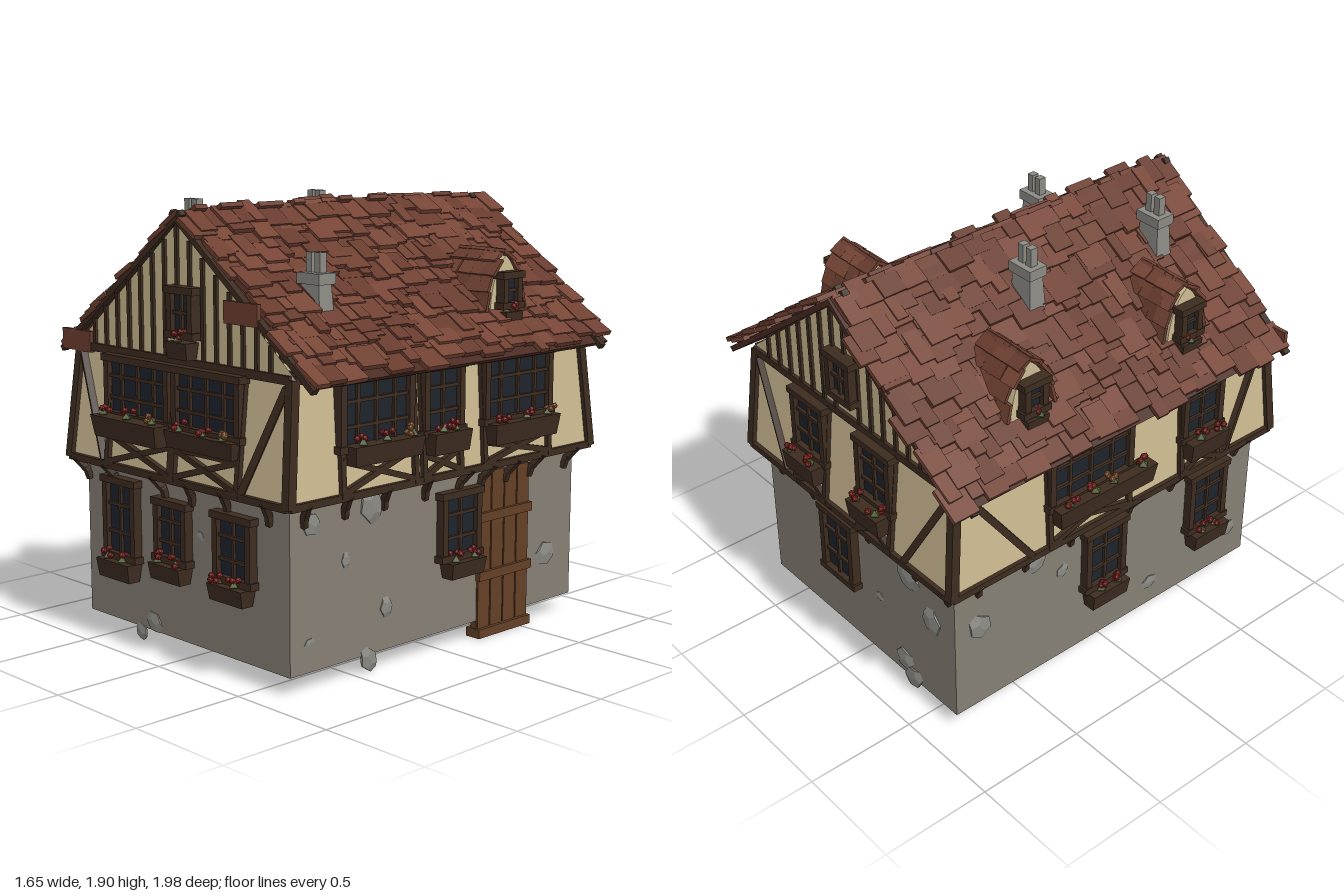
import * as THREE from 'three';
import { mergeGeometries } from 'three/addons/utils/BufferGeometryUtils.js';

const mat = (color, side = THREE.FrontSide) => new THREE.MeshStandardMaterial({ color, side, flatShading: true });
const M = {
  stone: mat(0x857f74, THREE.DoubleSide), plaster: mat(0xcdbb92, THREE.DoubleSide), timber: mat(0x3d2c20),
  glass: mat(0x1e232b), door: mat(0x634026), rock: mat(0x8b8a84), red: mat(0x842320), orange: mat(0x8c5a34),
  leaf: mat(0x4a5a2c), deck: mat(0x4a2b22), tiles: [mat(0x6e4032), mat(0x673b2e), mat(0x764536)],
};
let seed = 7;
const rnd = (a = 0, b = 1) => { seed = (seed * 16807) % 2147483647; return a + (b - a) * (seed / 2147483647); };

function add(parent, name, geo, material, x = 0, y = 0, z = 0) {
  const m = new THREE.Mesh(geo, material);
  m.name = name;
  m.position.set(x, y, z);
  parent.add(m);
  return m;
}
const box = (p, name, material, w, h, d, x, y, z) => add(p, name, new THREE.BoxGeometry(w, h, d), material, x, y, z);

// Timber between two points
function beam(p, name, a, b, w, d = w) {
  const A = new THREE.Vector3(...a), B = new THREE.Vector3(...b), dir = B.clone().sub(A);
  const m = box(p, name, M.timber, w, dir.length(), d, ...A.clone().add(B).multiplyScalar(0.5).toArray());
  m.quaternion.setFromUnitVectors(new THREE.Vector3(0, 1, 0), dir.normalize());
}

// Open shell through rectangular sections [halfX, halfZ, y]
function shell(sections) {
  const pos = [], c = [[1, 1], [1, -1], [-1, -1], [-1, 1]];
  for (let i = 0; i + 1 < sections.length; i++) for (let k = 0; k < 4; k++) {
    const P = (s, q) => [s[0] * q[0], s[2], s[1] * q[1]];
    const q = c[k], r = c[(k + 1) % 4], lo = sections[i], hi = sections[i + 1];
    pos.push(...P(lo, q), ...P(lo, r), ...P(hi, r), ...P(lo, q), ...P(hi, r), ...P(hi, q));
  }
  const g = new THREE.BufferGeometry();
  g.setAttribute('position', new THREE.Float32BufferAttribute(pos, 3));
  g.computeVertexNormals();
  return g;
}

// Box whose lower end is scaled
function taperedBox(w, h, d, sx, sz) {
  const g = new THREE.BoxGeometry(w, h, d), p = g.attributes.position;
  for (let i = 0; i < p.count; i++) if (p.getY(i) < 0) { p.setX(i, p.getX(i) * sx); p.setZ(i, p.getZ(i) * sz); }
  return g;
}

// Framed window; the frame shows on both faces of the wall
function windowUnit(p, u0, u1, y0, y1, z, cols = 2, rows = 3) {
  const g = new THREE.Group(), w = u1 - u0, h = y1 - y0, f = 0.03;
  g.name = 'window';
  g.position.set((u0 + u1) / 2, (y0 + y1) / 2, z);
  box(g, 'glass', M.glass, w - f, h - f, 0.012, 0, 0, 0.012);
  for (const s of [-1, 1]) {
    box(g, 'frameSide', M.timber, f, h, 0.07, s * (w - f) / 2, 0, 0.005);
    box(g, 'frameRail', M.timber, w + 0.02, f, 0.08, 0, s * (h - f) / 2, 0.005);
  }
  for (let i = 1; i < cols; i++) box(g, 'mullion', M.timber, 0.014, h - f, 0.045, -w / 2 + w * i / cols, 0, 0.008);
  for (let i = 1; i < rows; i++) box(g, 'glazingBar', M.timber, w - f, 0.014, 0.045, 0, -h / 2 + h * i / rows, 0.008);
  p.add(g);
}

function flowerBox(p, u0, u1, y0, y1, z, depth = 0.08) {
  const g = new THREE.Group(), w = u1 - u0;
  g.name = 'flowerBox';
  g.position.set((u0 + u1) / 2, y1, z + depth / 2);
  add(g, 'planter', taperedBox(w, y1 - y0, depth, 0.95, 0.7), M.timber, 0, -(y1 - y0) / 2, 0);
  const n = Math.max(1, Math.round(w / 0.13));
  for (let i = 0; i < n; i++) {
    const x = ((i + rnd(0.3, 0.7)) / n - 0.5) * w, m = i % 3 === 2 ? M.orange : M.red;
    add(g, 'leaves', new THREE.OctahedronGeometry(0.024), M.leaf, x, 0.005, 0.012);
    for (let k = 0; k < 4; k++)
      add(g, 'flower', new THREE.IcosahedronGeometry(0.015), m, x + rnd(-0.025, 0.025), rnd(0.01, 0.042), rnd(-0.015, 0.035));
  }
  p.add(g);
}

// Flat-bedded stone in the wall face
function rock(p, u, y, z, r) {
  const m = add(p, 'wallStone', new THREE.DodecahedronGeometry(r), M.rock, u, y, z);
  m.scale.set(rnd(0.8, 1), rnd(0.9, 1.2), 0.24);
  m.rotation.z = rnd(0, 3);
}

const SILL = 0.77, PLATE = 1.26, RIDGE = 1.85, EAVE = 0.8, FALL = 0.61;
const roofY = x => RIDGE - Math.abs(x) * FALL / EAVE;

// One elevation, drawn facing +z and turned into place
function elevation(house, name, turn, half, lower, foot, head, o) {
  const g = new THREE.Group();
  g.name = name;
  g.rotation.y = turn;
  house.add(g);
  const face = y => foot + (head - foot) * (y - SILL) / (PLATE - SILL);
  const stud = (u0, y0, u1, y1, w = 0.025) => beam(g, 'timber', [u0, y0, face(y0) + 0.005], [u1, y1, face(y1) + 0.005], w, 0.03);
  const [wf, wh] = half;
  beam(g, 'sillBeam', [-wf, SILL + 0.005, foot], [wf, SILL + 0.005, foot], 0.03, 0.035);
  beam(g, 'plateBeam', [-wh, PLATE, head], [wh, PLATE, head], 0.035, 0.04);
  beam(g, 'cornerPost', [wf, SILL, foot], [wh, PLATE, head], 0.04);
  for (const [a, b, c, d] of o.braces) stud(a, b, c, d, 0.03);
  for (const [a, b, y] of o.crosses) {
    stud(a, SILL, a, PLATE); stud(b, SILL, b, PLATE); stud(a, y, b, y);
    stud(a, 0.79, b, y); stud(a, y, b, 0.79);
  }
  for (const w of o.upper) windowUnit(g, w[0], w[1], w[2], w[3], face((w[2] + w[3]) / 2), w[4], 3);
  for (const w of o.lower) windowUnit(g, w[0], w[1], w[2], w[3], lower, 2, 3);
  for (const b of o.boxes) flowerBox(g, b[0], b[1], b[2], b[3], b[2] > SILL ? face(b[2]) : lower, b[4]);
  for (const [u, y, r] of o.rocks) rock(g, u, y, lower, r);
  for (const u of o.brackets) {
    const lean = u < 0 ? 0.03 : -0.03;
    beam(g, 'bracket', [u + lean, 0.675, lower + 0.005], [u + lean * 0.7, 0.73, lower + 0.02], 0.024);
    beam(g, 'bracket', [u + lean * 0.8, 0.715, lower + 0.015], [u, 0.775, foot + 0.01], 0.026);
  }
  return g;
}

// Gable cladding with studs and an attic window
function gable(g, z, wu) {
  const s = new THREE.Shape([new THREE.Vector2(-0.7, PLATE), new THREE.Vector2(0.7, PLATE), new THREE.Vector2(0, RIDGE - 0.03)]);
  add(g, 'gableWall', new THREE.ShapeGeometry(s), M.plaster, 0, 0, z);
  for (let i = -7; i <= 7; i++) {
    const x = i * 0.08, y0 = Math.abs(x - wu) < 0.08 ? 1.56 : PLATE;
    beam(g, 'gableStud', [x, y0, z], [x, roofY(x) - 0.04, z], 0.018, 0.024);
  }
  for (const e of [-1, 1]) beam(g, 'bargeBoard', [e * 0.8, roofY(0.8) - 0.01, z], [-e * 0.03, RIDGE + 0.01, z], 0.025, 0.03);
  windowUnit(g, wu - 0.08, wu + 0.08, 1.36, 1.57, z + 0.01, 2, 2);
}

// Collects tiles into one mesh per shade
function tileSet(parent, name) {
  const lists = [[], [], []];
  return {
    put(w, l, t, matrix) { lists[Math.floor(rnd(0, 3))].push(new THREE.BoxGeometry(w, l, t).applyMatrix4(matrix)); },
    done() { lists.forEach((l, i) => { if (l.length) add(parent, name, mergeGeometries(l), M.tiles[i]); }); },
  };
}
// Matrix with y down the slope, z along its normal, and a slight lift at the lower end
function tileMatrix(origin, down, normal, lift, twist) {
  const X = new THREE.Vector3().crossVectors(down, normal);
  return new THREE.Matrix4().makeBasis(X, down, normal).setPosition(origin)
    .multiply(new THREE.Matrix4().makeRotationFromEuler(new THREE.Euler(lift, 0, twist)));
}

function roof(house) {
  const V = (x, y) => new THREE.Vector2(x, y);
  const s = new THREE.Shape([V(-0.78, 1.245), V(0, RIDGE - 0.01), V(0.78, 1.245), V(0.76, 1.23), V(0, RIDGE - 0.04), V(-0.76, 1.23)]);
  add(house, 'roofDeck', new THREE.ExtrudeGeometry(s, { depth: 1.78, bevelEnabled: false }), M.deck, 0, 0, -0.93);
  const len = Math.hypot(EAVE, FALL);
  for (const e of [-1, 1]) {
    const set = tileSet(house, e < 0 ? 'rightRoofTiles' : 'leftRoofTiles');
    const down = new THREE.Vector3(e * EAVE / len, -FALL / len, 0), n = new THREE.Vector3(e * FALL / len, EAVE / len, 0);
    for (let r = 0; r < 13; r++) {
      let z = -0.96 + rnd(-0.025, 0.045);
      while (z < 0.82) {
        const w = Math.min(rnd(0.05, 0.14), 0.885 - z), v = 0.035 + r * 0.0735 + rnd(-0.03, 0.03);
        const o = new THREE.Vector3(0, RIDGE, z + w / 2).addScaledVector(down, v).addScaledVector(n, 0.003 + rnd(0, 0.016));
        set.put(w, rnd(0.11, 0.15), 0.02, tileMatrix(o, down, n, rnd(0.05, 0.14), rnd(-0.03, 0.03)));
        z += w * 0.97;
      }
    }
    set.done();
  }
  // Loose boards at the front verge
  box(house, 'vergeBoard', M.tiles[0], 0.2, 0.09, 0.02, -0.68, 1.28, 0.875);
  box(house, 'vergeBoard', M.tiles[0], 0.2, 0.09, 0.02, 0.4, 1.49, 0.875);
}

// Dormer with a pointed-arch face, facing local +z
function dormer(house, e, z) {
  const g = new THREE.Group();
  g.name = 'dormer';
  g.rotation.y = e * Math.PI / 2;
  g.position.set(e * 0.61, 0, z);
  const s = new THREE.Shape();
  s.moveTo(-0.1, 1.37); s.lineTo(0.1, 1.37);
  s.quadraticCurveTo(0.095, 1.58, 0, 1.645);
  s.quadraticCurveTo(-0.095, 1.58, -0.1, 1.37);
  add(g, 'dormerBody', new THREE.ExtrudeGeometry(s, { depth: 0.26, bevelEnabled: false }), M.plaster, 0, 0, -0.26);
  windowUnit(g, -0.06, 0.06, 1.42, 1.58, 0.005, 1, 2);
  flowerBox(g, -0.055, 0.055, 1.345, 1.41, 0.005, 0.05);
  const set = tileSet(g, 'dormerTiles');
  for (const k of [-1, 1]) {
    const curve = new THREE.QuadraticBezierCurve3(new THREE.Vector3(0, 1.655, 0), new THREE.Vector3(k * 0.106, 1.59, 0), new THREE.Vector3(k * 0.11, 1.4, 0));
    for (let r = 0; r < 4; r++) for (let c = 0; c < 4; c++) {
      const t = 0.1 + r * 0.25, down = curve.getTangent(t), n = new THREE.Vector3(-k * down.y, k * down.x, 0);
      const o = curve.getPoint(t).addScaledVector(n, 0.006);
      o.z = -0.035 - c * 0.062 + rnd(-0.015, 0.015);
      set.put(rnd(0.07, 0.085), 0.085, 0.014, tileMatrix(o, down, n, rnd(0.05, 0.15), rnd(-0.05, 0.05)));
    }
  }
  set.done();
  house.add(g);
}

function chimney(house, x, z, top) {
  const g = new THREE.Group();
  g.name = 'chimney';
  g.position.set(x, top, z);
  add(g, 'stack', taperedBox(0.1, 0.26, 0.065, 1.4, 1.4), M.rock, 0, -0.15, 0);
  box(g, 'cap', M.rock, 0.13, 0.045, 0.09, 0, -0.023, 0);
  for (const k of [-1, 1]) box(g, 'pot', M.rock, 0.032, 0.08, 0.035, k * 0.024, 0.04, 0);
  house.add(g);
}

export function createModel() {
  const house = new THREE.Group();
  house.name = 'timberFramedHouse';
  add(house, 'stoneWalls', shell([[0.65, 0.86, 0.08], [0.65, 0.86, SILL], [0.7, 0.91, SILL]]), M.stone);
  add(house, 'plasterWalls', shell([[0.7, 0.91, SILL], [0.67, 0.86, PLATE]]), M.plaster);

  const front = elevation(house, 'frontWall', 0, [0.7, 0.67], 0.86, 0.91, 0.86, {
    braces: [[-0.65, 1.23, -0.46, 0.79], [0.65, 1.23, 0.43, 0.79]],
    crosses: [[-0.43, -0.01, 0.91], [0.01, 0.41, 0.91]],
    upper: [[-0.45, -0.02, 0.98, 1.25, 4], [0, 0.42, 0.98, 1.25, 4]],
    lower: [[-0.5, -0.28, 0.36, 0.72], [-0.15, 0.06, 0.41, 0.68], [0.23, 0.46, 0.4, 0.69]],
    boxes: [[-0.44, -0.01, 0.91, 1, 0.1], [0, 0.42, 0.92, 0.99, 0.06], [-0.5, -0.28, 0.28, 0.36], [-0.14, 0.06, 0.34, 0.41], [0.24, 0.45, 0.33, 0.4]],
    rocks: [[0.11, 0.55, 0.025], [-0.2, 0.12, 0.05], [-0.29, 0.06, 0.04]], brackets: [-0.66, -0.46, -0.13, 0.1, 0.32, 0.57],
  });
  gable(front, 0.865, 0.06);
  flowerBox(front, 0, 0.13, 1.28, 1.35, 0.87, 0.07);

  const side = elevation(house, 'doorWall', Math.PI / 2, [0.91, 0.86], 0.65, 0.7, 0.67, {
    braces: [], crosses: [[-0.63, -0.22, 0.92], [-0.17, 0.05, 0.88], [0.2, 0.62, 0.88]],
    upper: [[-0.65, -0.24, 0.95, 1.25, 4], [-0.18, 0.06, 0.95, 1.25, 2], [0.19, 0.63, 0.95, 1.25, 4]],
    lower: [[-0.03, 0.21, 0.39, 0.69]],
    boxes: [[-0.62, -0.23, 0.9, 0.98], [-0.17, 0.05, 0.88, 0.97], [0.2, 0.62, 0.87, 0.96], [-0.01, 0.2, 0.32, 0.39]],
    rocks: [[-0.75, 0.68, 0.05], [-0.42, 0.7, 0.07], [-0.56, 0.5, 0.03], [-0.33, 0.26, 0.045], [-0.43, 0.06, 0.05], [-0.76, 0.2, 0.025], [0.68, 0.3, 0.07]],
    brackets: [-0.82, -0.6, -0.38, -0.14, 0.12, 0.26, 0.42, 0.58, 0.82],
  });
  // Plank door, set into the wall, with three bands
  for (let i = 0; i < 4; i++) box(side, 'doorPlank', M.door, 0.076, 0.72 + (i % 2) * 0.012, 0.04, 0.265 + i * 0.083, 0.37, 0.638);
  box(side, 'doorBacking', M.door, 0.33, 0.71, 0.03, 0.39, 0.37, 0.638);
  for (const y of [0.025, 0.28, 0.54]) box(side, 'doorBand', M.door, 0.34, 0.04, 0.075, 0.39, y, 0.636);

  const back = elevation(house, 'backWall', Math.PI, [0.7, 0.67], 0.86, 0.91, 0.86, {
    braces: [[-0.65, 1.23, -0.42, 0.79], [0.65, 1.23, 0.4, 0.79]],
    crosses: [[-0.35, -0.14, 0.88], [0.1, 0.31, 0.88]],
    upper: [[-0.36, -0.13, 0.95, 1.25, 2], [0.09, 0.32, 0.95, 1.25, 2]], lower: [[-0.23, 0, 0.36, 0.71]],
    boxes: [[-0.35, -0.14, 0.87, 0.96], [0.1, 0.31, 0.87, 0.96]],
    rocks: [[0.14, 0.68, 0.025], [0.14, 0.4, 0.03], [0.35, 0.65, 0.08], [0.5, 0.5, 0.07], [0.3, 0.16, 0.07], [0.36, 0.09, 0.06]],
    brackets: [-0.57, -0.33, -0.1, 0.12, 0.44, 0.65],
  });
  gable(back, 0.865, 0);

  elevation(house, 'plainSideWall', -Math.PI / 2, [0.91, 0.86], 0.65, 0.7, 0.67, {
    braces: [[-0.82, 1.23, -0.5, 0.79], [0.82, 1.23, 0.62, 0.79]],
    crosses: [[-0.4, 0.04, 0.9], [0.35, 0.57, 0.88]],
    upper: [[-0.41, 0.05, 0.96, 1.25, 4], [0.34, 0.58, 0.95, 1.25, 2]], lower: [[-0.17, 0.06, 0.38, 0.7], [0.45, 0.68, 0.38, 0.7]],
    boxes: [[-0.4, 0.14, 0.89, 0.98], [0.35, 0.57, 0.87, 0.96], [-0.16, 0.05, 0.3, 0.38], [0.46, 0.67, 0.3, 0.38]],
    rocks: [[-0.73, 0.5, 0.07], [-0.43, 0.68, 0.06], [-0.28, 0.55, 0.035], [0.75, 0.25, 0.05], [0.25, 0.2, 0.04]],
    brackets: [-0.77, -0.52, -0.27, 0.12, 0.37, 0.77],
  });

  roof(house);
  for (const [e, z] of [[1, -0.43], [-1, -0.43], [-1, 0.42]]) dormer(house, e, z);
  for (const c of [[-0.26, -0.14, 1.82], [-0.27, 0.56, 1.81], [0.45, 0.53, 1.63]]) chimney(house, ...c);
  return house;
}
